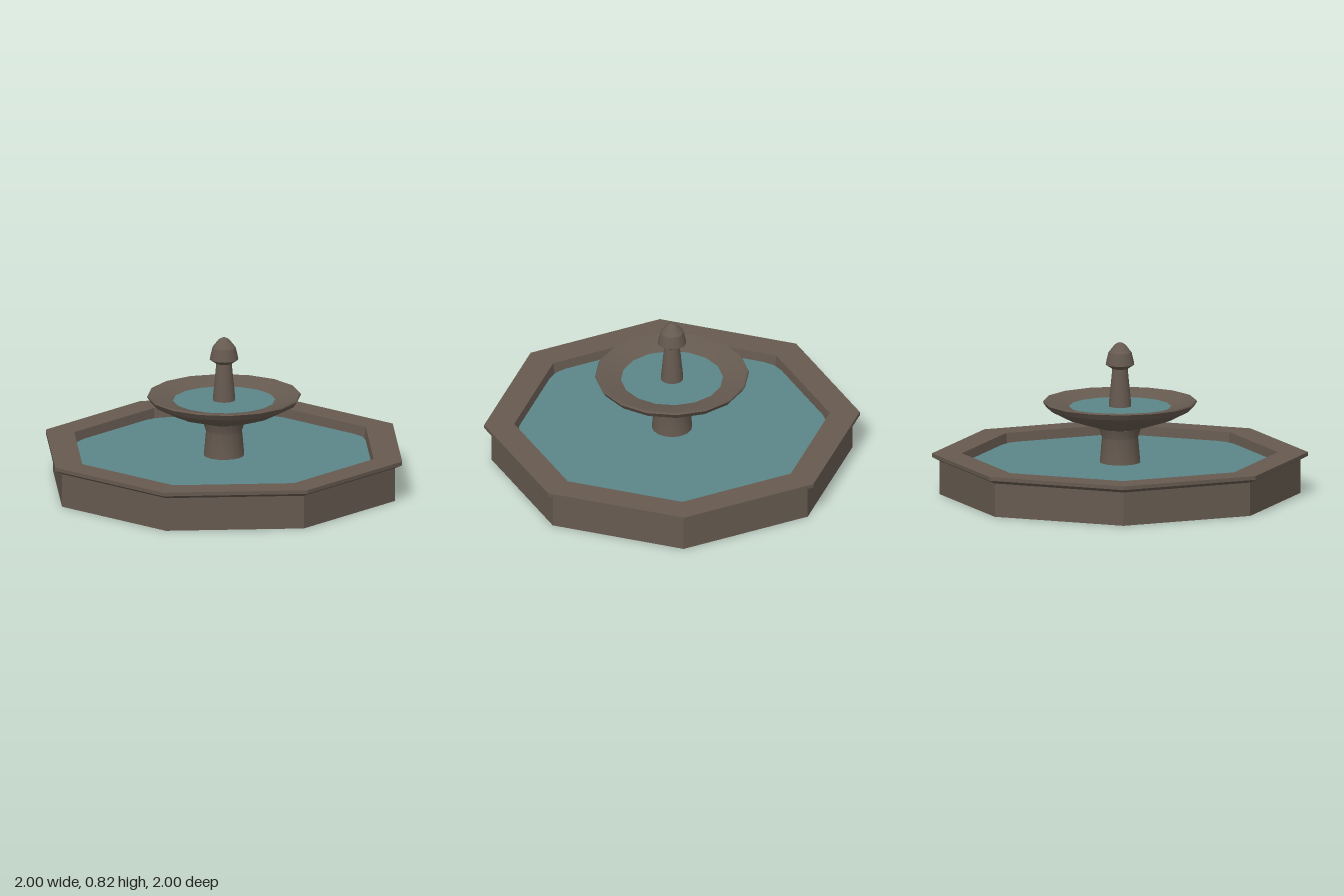
import * as THREE from 'three';
import { toCreasedNormals } from 'three/addons/utils/BufferGeometryUtils.js';

export function createModel() {
  const group = new THREE.Group();
  group.name = 'fountain';

  const stone = new THREE.MeshStandardMaterial({ color: 0x665a50, side: THREE.DoubleSide });
  stone.name = 'stone';
  const water = new THREE.MeshStandardMaterial({ color: 0x5c8587, side: THREE.DoubleSide });
  water.name = 'water';

  // Turned part: profile of [radius, height] pairs, with sharp creases kept
  function turned(name, profile, sides) {
    const points = profile.map(([r, y]) => new THREE.Vector2(r, y));
    const geometry = toCreasedNormals(new THREE.LatheGeometry(points, sides), 0.42);
    const mesh = new THREE.Mesh(geometry, stone);
    mesh.name = name;
    group.add(mesh);
  }

  // Flat water surface
  function pool(name, radius, y) {
    const geometry = new THREE.CircleGeometry(radius, 16).rotateX(-Math.PI / 2);
    const mesh = new THREE.Mesh(geometry, water);
    mesh.name = name;
    mesh.position.y = y;
    group.add(mesh);
  }

  // Octagonal basin: hollow wall, overhanging rim, inner wall and raised floor
  turned('basin', [
    [0.96, 0], [0.96, 0.18], [1, 0.2], [1, 0.22],
    [0.84, 0.22], [0.82, 0.06], [0, 0.06],
  ], 8);
  pool('basinWater', 0.82, 0.17);

  // Pedestal with a flared top
  turned('pedestal', [[0.115, 0.06], [0.107, 0.18], [0.096, 0.305], [0.113, 0.355]], 16);

  // Shallow upper bowl
  turned('bowl', [
    [0, 0.35], [0.11, 0.355], [0.28, 0.408], [0.39, 0.465], [0.41, 0.495], [0.405, 0.503],
    [0.37, 0.497], [0.27, 0.47], [0.12, 0.43], [0, 0.43],
  ], 16);
  pool('bowlWater', 0.272, 0.472);

  // Tapered spout with an acorn finial
  turned('spout', [[0.062, 0.43], [0.058, 0.5], [0.041, 0.675]], 16);
  turned('finial', [
    [0, 0.672], [0.043, 0.675], [0.076, 0.697], [0.074, 0.71], [0.062, 0.762],
    [0.03, 0.803], [0.012, 0.814], [0, 0.817],
  ], 16);

  return group;
}
